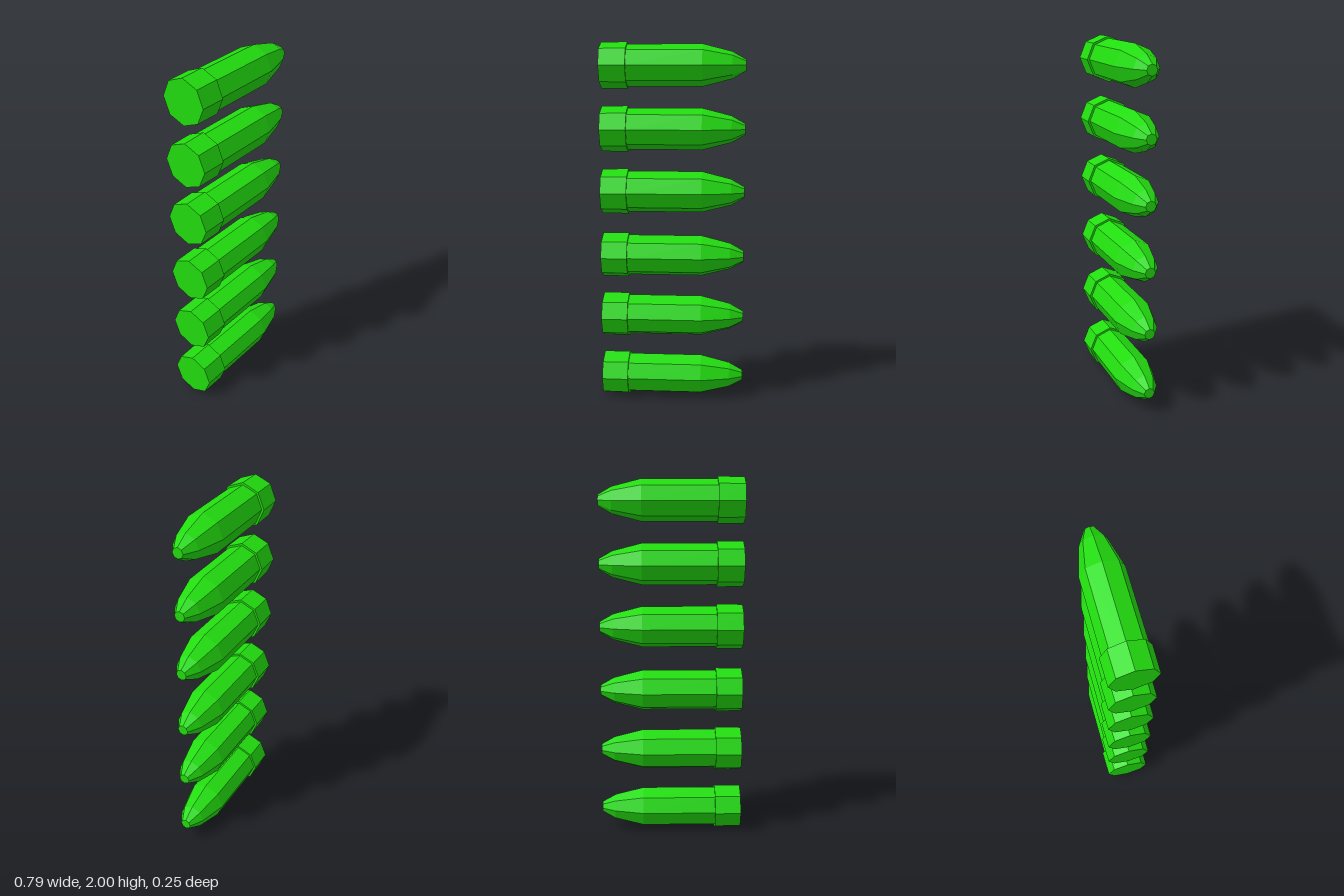
import * as THREE from 'three';

const SIDES = 8;

// Closed octagonal solid turned around the x axis; profile is [x, radius] from back to tip
function turned(name, profile, material) {
  const points = profile.map(([x, r]) => new THREE.Vector2(r, x));
  const geometry = new THREE.LatheGeometry(points, SIDES);
  geometry.rotateZ(-Math.PI / 2);
  const mesh = new THREE.Mesh(geometry, material);
  mesh.name = name;
  return mesh;
}

export function createModel() {
  const model = new THREE.Group();
  model.name = 'bulletStack';
  const green = new THREE.MeshStandardMaterial({ color: 0x22dd0f, flatShading: true });

  // Heights of the six rounds, with a slightly wider gap in the middle
  const heights = [0.126, 0.475, 0.822, 1.183, 1.53, 1.874];

  heights.forEach((y, i) => {
    const bullet = new THREE.Group();
    bullet.name = `bullet${i + 1}`;
    bullet.position.y = y;

    // Wider collar at the back, flaring very slightly forwards
    bullet.add(turned('collar', [[-0.395, 0], [-0.395, 0.124], [-0.25, 0.126], [-0.25, 0]], green));

    // Straight body tapering in two steps to a small blunt tip
    bullet.add(turned('body', [
      [-0.25, 0.114], [0.16, 0.114], [0.32, 0.073], [0.395, 0.03], [0.395, 0],
    ], green));

    model.add(bullet);
  });

  return model;
}
